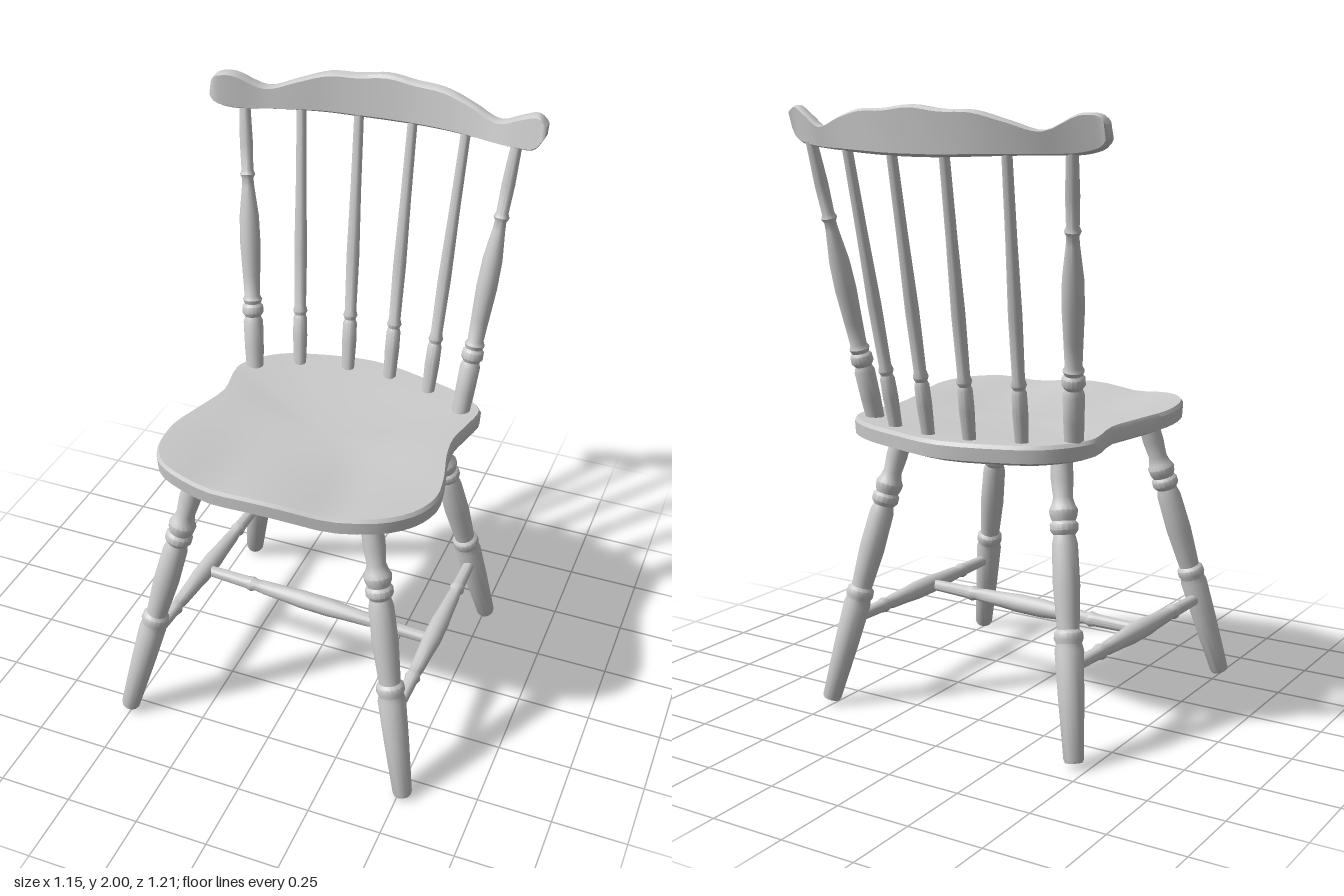
import * as THREE from 'three';
import { toCreasedNormals, mergeVertices } from 'three/addons/utils/BufferGeometryUtils.js';

const material = new THREE.MeshStandardMaterial({ color: 0xcccccc });
const V = (x, y, z) => new THREE.Vector3(x, y, z);

function addMesh(group, name, geometry) {
  const mesh = new THREE.Mesh(geometry, material);
  mesh.name = name;
  group.add(mesh);
  return mesh;
}

// Lathe-turned rod from a to b; profile rows are [fraction along, radius]
function turned(group, name, a, b, profile) {
  const dir = b.clone().sub(a);
  const length = dir.length();
  const pts = profile.map(([t, r]) => new THREE.Vector2(r, t * length));
  pts.unshift(new THREE.Vector2(0, pts[0].y));
  pts.push(new THREE.Vector2(0, pts[pts.length - 1].y));
  const mesh = addMesh(group, name, toCreasedNormals(new THREE.LatheGeometry(pts, 16), 0.7));
  mesh.position.copy(a);
  mesh.quaternion.setFromUnitVectors(V(0, 1, 0), dir.normalize());
}

// Skin over equal-sized closed rings, with a fan cap on each end
function loft(rings, crease) {
  const n = rings[0].length, pos = [], index = [];
  rings.forEach(ring => ring.forEach(p => pos.push(p.x, p.y, p.z)));
  for (let i = 0; i < rings.length - 1; i++) {
    for (let j = 0; j < n; j++) {
      const a = i * n + j, b = i * n + (j + 1) % n;
      index.push(a, b, b + n, a, b + n, a + n);
    }
  }
  [0, rings.length - 1].forEach((r, end) => {
    const c = rings[r].reduce((s, p) => s.add(p), V(0, 0, 0)).divideScalar(n);
    const k = pos.length / 3;
    pos.push(c.x, c.y, c.z);
    for (let j = 0; j < n; j++) {
      const a = r * n + j, b = r * n + (j + 1) % n;
      if (end) index.push(k, a, b); else index.push(k, b, a);
    }
  });
  const g = new THREE.BufferGeometry();
  g.setAttribute('position', new THREE.Float32BufferAttribute(pos, 3));
  g.setIndex(index);
  return toCreasedNormals(mergeVertices(g), crease);
}

// Dished seat board with waisted sides and a chamfered underside
function seatGeometry() {
  const outline = new THREE.CatmullRomCurve3([
    [0, 0.515], [0.18, 0.5], [0.36, 0.465], [0.455, 0.385], [0.495, 0.28], [0.482, 0.16],
    [0.452, 0.04], [0.44, -0.07], [0.458, -0.18], [0.465, -0.28], [0.38, -0.355], [0.21, -0.415],
    [0.02, -0.455], [-0.2, -0.415], [-0.31, -0.37], [-0.39, -0.285], [-0.415, -0.22],
    [-0.39, -0.06], [-0.42, 0.08], [-0.45, 0.21], [-0.44, 0.33], [-0.4, 0.415], [-0.33, 0.465], [-0.18, 0.5],
  ].map(([x, z]) => V(x, 0, z)), true).getPoints(72).slice(0, -1);
  const ring = (s, height) => outline.map(p => {
    const x = 0.02 + (p.x - 0.02) * s, z = 0.04 + (p.z - 0.04) * s;
    return V(x, height(x, z, s), z);
  });
  // slope to the back, hollow in the middle, two thigh dips beside the front pommel
  const top = (x, z, s) => {
    const dips = Math.exp(-(((Math.abs(x - 0.01) - 0.2) / 0.1) ** 2)) * THREE.MathUtils.smoothstep(z, 0, 0.5);
    return 1.005 + 0.05 * z - 0.03 * (1 - s * s) ** 1.5 - 0.015 * dips;
  };
  const bottom = (x, z) => 0.93 + 0.05 * z;
  return loft([
    ring(0.05, bottom), ring(0.5, bottom), ring(0.89, bottom),
    ring(0.995, (x, z, s) => top(x, z, s) - 0.055),
    ring(1, (x, z, s) => top(x, z, s) - 0.012),
    ...[0.985, 0.92, 0.8, 0.65, 0.5, 0.35, 0.2, 0.05].map(s => ring(s, top)),
  ], 0.55);
}

// Curved, scalloped rail on top of the back
function crestGeometry() {
  // x, bottom, top, z
  const stations = [
    [-0.575, 1.905, 1.945, -0.45], [-0.555, 1.878, 1.97, -0.447], [-0.5, 1.86, 1.975, -0.462],
    [-0.4, 1.858, 1.928, -0.497], [-0.3, 1.856, 1.955, -0.53], [-0.2, 1.853, 1.984, -0.557],
    [-0.1, 1.85, 1.987, -0.57], [0, 1.85, 2, -0.575], [0.1, 1.853, 1.99, -0.57],
    [0.2, 1.858, 1.988, -0.553], [0.3, 1.864, 1.965, -0.525], [0.4, 1.87, 1.937, -0.49],
    [0.48, 1.877, 1.975, -0.46], [0.54, 1.893, 2, -0.435], [0.572, 1.94, 1.975, -0.428],
  ];
  const low = new THREE.CatmullRomCurve3(stations.map(s => V(s[0], s[1], s[3] + 0.008))).getPoints(56);
  const high = new THREE.CatmullRomCurve3(stations.map(s => V(s[0], s[2], s[3] - 0.008)));
  const section = [[1, -0.5], [1, 0.5], [0.88, 1], [-0.88, 1], [-1, 0.5], [-1, -0.5], [-0.88, -1], [0.88, -1]];
  return loft(low.map((l, i) => {
    const h = high.getPoint(i / 56);
    const half = i === 0 || i === 56 ? 0.016 : 0.023;
    return section.map(([v, w]) => V(l.x, THREE.MathUtils.lerp(l.y, h.y, (v + 1) / 2),
      THREE.MathUtils.lerp(l.z, h.z, (v + 1) / 2) + w * half));
  }), 0.6);
}

const LEG = [[0, 0.028], [0.01, 0.032], [0.2, 0.041], [0.355, 0.046], [0.375, 0.041], [0.39, 0.047], [0.41, 0.045],
  [0.42, 0.035], [0.45, 0.037], [0.56, 0.043], [0.69, 0.041], [0.72, 0.034], [0.735, 0.045], [0.755, 0.045],
  [0.765, 0.037], [0.78, 0.043], [0.8, 0.046], [0.815, 0.038], [0.84, 0.031], [0.9, 0.036], [1, 0.035]];
const POST = [[0, 0.03], [0.08, 0.033], [0.18, 0.034], [0.2, 0.027], [0.215, 0.037], [0.24, 0.036], [0.25, 0.028],
  [0.265, 0.034], [0.28, 0.027], [0.36, 0.03], [0.48, 0.035], [0.58, 0.033], [0.69, 0.021], [0.72, 0.019],
  [0.735, 0.026], [0.75, 0.02], [0.85, 0.022], [1, 0.018]];
const SPINDLE = [[0, 0.021], [0.12, 0.025], [0.19, 0.024], [0.205, 0.019], [0.22, 0.025], [0.24, 0.02],
  [0.45, 0.022], [0.7, 0.018], [1, 0.016]];
const STRETCHER = [[0, 0.019], [0.19, 0.022], [0.215, 0.027], [0.235, 0.02], [0.27, 0.024], [0.38, 0.028], [0.44, 0.032],
  [0.56, 0.032], [0.62, 0.028], [0.73, 0.024], [0.765, 0.02], [0.785, 0.027], [0.81, 0.022], [1, 0.019]];

export function createModel() {
  const chair = new THREE.Group();
  chair.name = 'chair';

  addMesh(chair, 'seat', seatGeometry());
  addMesh(chair, 'crestRail', crestGeometry());

  // Splayed legs
  turned(chair, 'frontLeftLeg', V(0.515, 0.01, 0.575), V(0.31, 0.96, 0.37), LEG);
  turned(chair, 'frontRightLeg', V(-0.505, 0.02, 0.55), V(-0.285, 0.96, 0.37), LEG);
  turned(chair, 'backLeftLeg', V(0.51, 0.02, -0.385), V(0.315, 0.95, -0.21), LEG);
  turned(chair, 'backRightLeg', V(-0.455, 0.02, -0.415), V(-0.285, 0.95, -0.21), LEG);

  // Stretchers between the legs
  turned(chair, 'leftStretcher', V(0.455, 0.295, 0.51), V(0.455, 0.295, -0.335), STRETCHER);
  turned(chair, 'rightStretcher', V(-0.44, 0.295, 0.49), V(-0.405, 0.295, -0.355), STRETCHER);
  turned(chair, 'crossStretcher', V(-0.42, 0.295, 0.08), V(0.45, 0.295, 0.13), STRETCHER);

  // Outer back posts
  turned(chair, 'leftPost', V(0.4, 0.98, -0.255), V(0.472, 1.89, -0.465), POST);
  turned(chair, 'rightPost', V(-0.36, 0.98, -0.26), V(-0.467, 1.88, -0.47), POST);

  // Back spindles: foot x, foot z, top x, top z
  [[-0.222, -0.34, -0.287, -0.53], [-0.053, -0.375, -0.095, -0.565],
    [0.102, -0.375, 0.093, -0.565], [0.257, -0.335, 0.287, -0.525]].forEach(([x0, z0, x1, z1], i) =>
    turned(chair, 'spindle' + (i + 1), V(x0, 0.97, z0), V(x1, 1.88, z1), SPINDLE));

  return chair;
}
